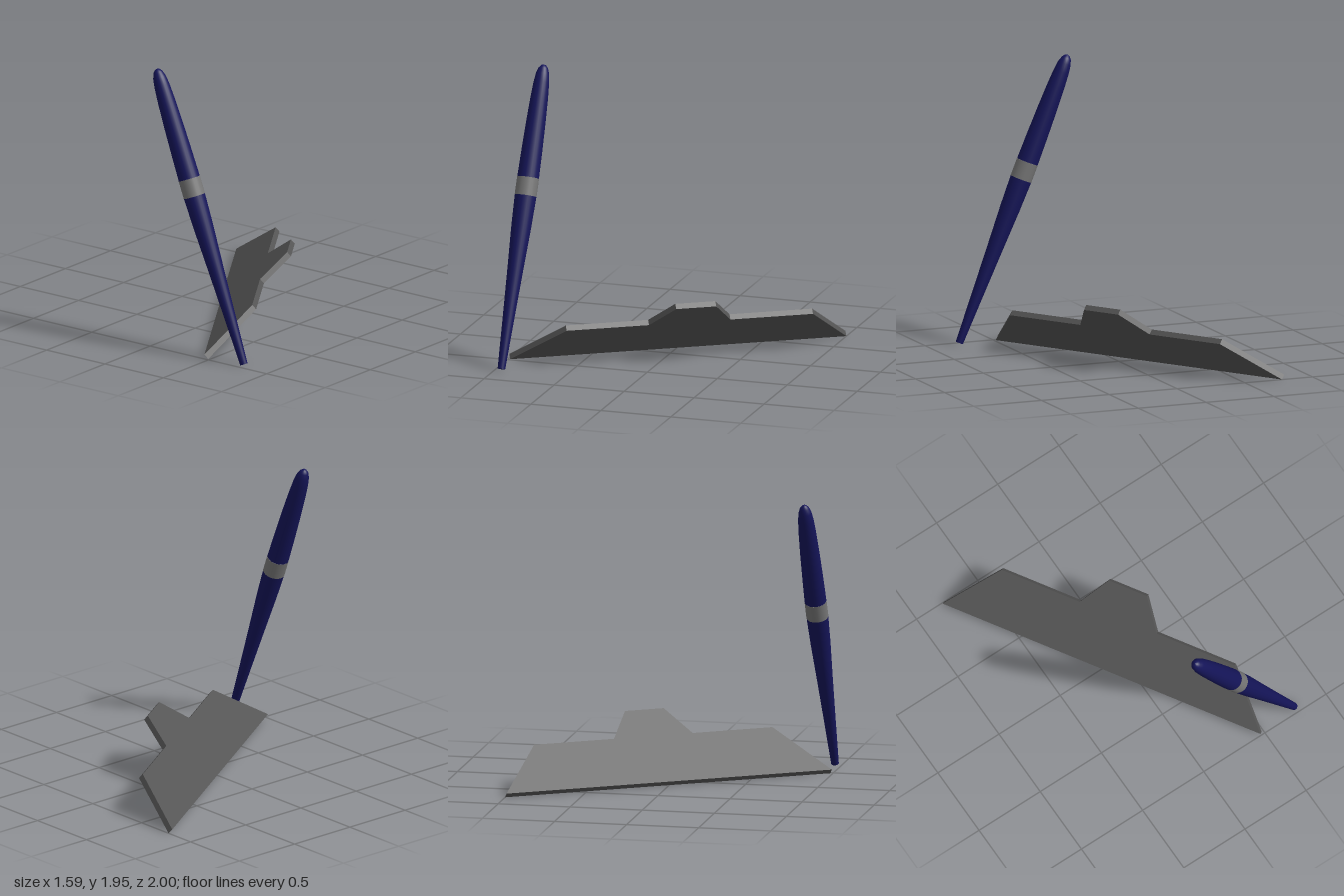
import * as THREE from 'three';

const material = (color) => new THREE.MeshStandardMaterial({ color });
const V2 = (p) => new THREE.Vector2(p[0], p[1]);

// Flat stepped plate, resting on its long edge and leaning back
function makePlate() {
  const outline = [
    [0, 0], [2.35, 0], [2.03, 0.394], [1.454, 0.394],
    [1.307, 0.621], [1.027, 0.621], [0.885, 0.394], [0.308, 0.394],
  ];
  const geometry = new THREE.ExtrudeGeometry(new THREE.Shape(outline.map(V2)), {
    depth: 0.04, bevelEnabled: false,
  });
  const plate = new THREE.Mesh(geometry, material(0x555555));
  plate.name = 'plate';

  const along = new THREE.Vector3(0.5365, 0, 0.844).normalize();
  const level = new THREE.Vector3(along.z, 0, -along.x);
  const lean = 0.72; // angle of the plate above the ground
  const up = level.multiplyScalar(Math.cos(lean)).setY(Math.sin(lean));
  const normal = new THREE.Vector3().crossVectors(along, up);
  plate.quaternion.setFromRotationMatrix(new THREE.Matrix4().makeBasis(along, up, normal));
  plate.position.set(-0.775, 0, -1);
  return plate;
}

// Tapered round shaft with a band at its thickest part
function makeShaft() {
  const shaft = new THREE.Group();
  shaft.name = 'shaft';
  const navy = material(0x15155a);
  const addLathe = (name, profile, mat) => {
    const mesh = new THREE.Mesh(new THREE.LatheGeometry(profile.map(V2), 24), mat);
    mesh.name = name;
    shaft.add(mesh);
  };

  addLathe('lowerShaft', [
    [0.026, 0], [0.04, 0.35], [0.054, 0.68], [0.068, 0.98], [0.074, 1.19],
  ], navy);
  addLathe('band', [[0.075, 1.19], [0.075, 1.315]], material(0x777777));
  addLathe('upperShaft', [
    [0.074, 1.315], [0.071, 1.5], [0.066, 1.7], [0.06, 1.86], [0.053, 1.97],
    [0.045, 2.03], [0.032, 2.068], [0.016, 2.087], [0, 2.092],
  ], navy);

  // Flat end of the shaft
  const cap = new THREE.Mesh(new THREE.CircleGeometry(0.026, 24), navy);
  cap.name = 'shaftEnd';
  cap.rotation.x = Math.PI / 2;
  shaft.add(cap);

  const foot = new THREE.Vector3(0.768, 0.01, 0.953);
  const tip = new THREE.Vector3(-0.012, 1.95, 0.908);
  shaft.position.copy(foot);
  shaft.quaternion.setFromUnitVectors(
    new THREE.Vector3(0, 1, 0), tip.sub(foot).normalize());
  return shaft;
}

export function createModel() {
  const model = new THREE.Group();
  model.name = 'plateAndShaft';
  model.add(makePlate(), makeShaft());
  return model;
}
